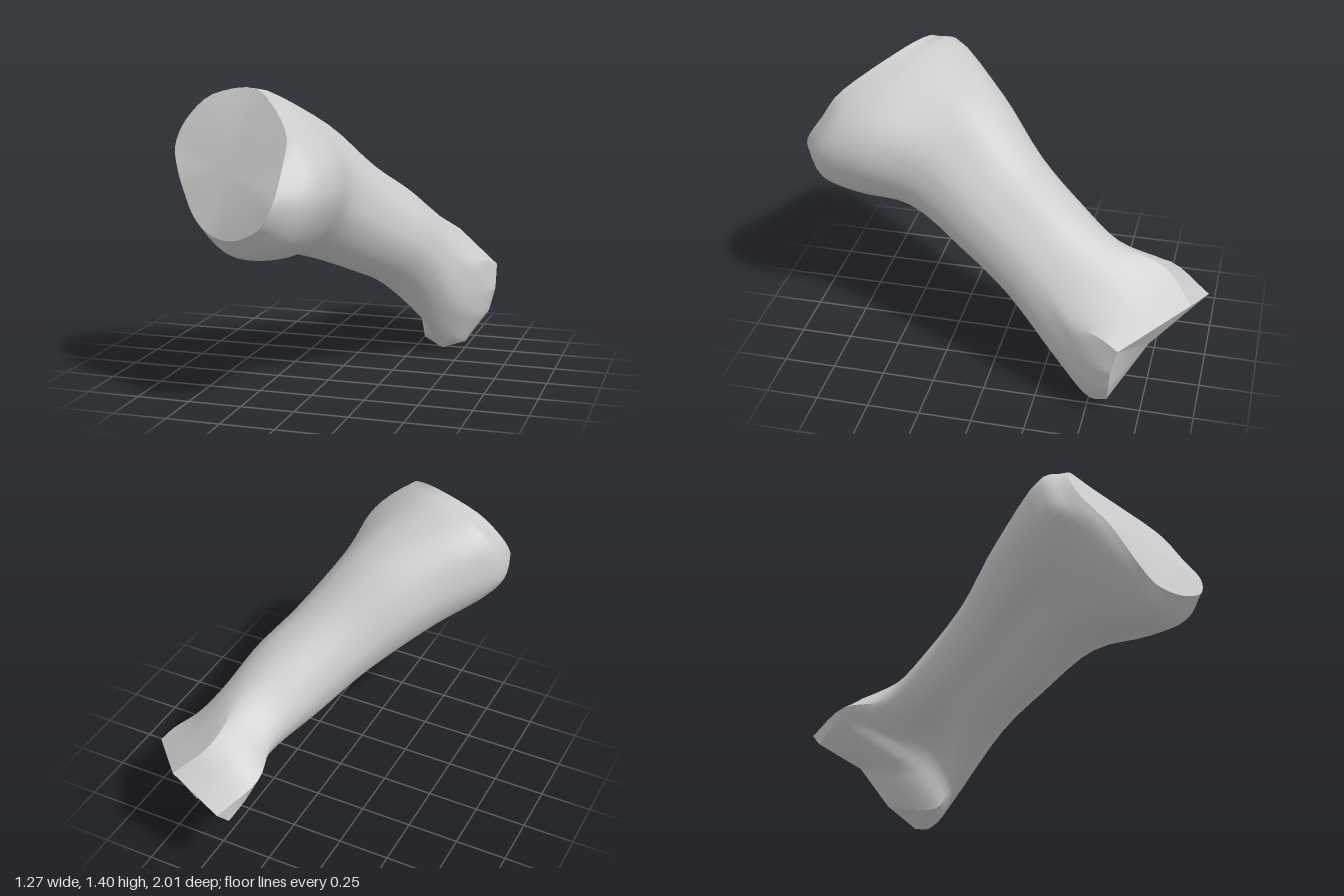
import * as THREE from 'three';
import { toCreasedNormals } from 'three/addons/utils/BufferGeometryUtils.js';

const V = (x, y, z) => new THREE.Vector3(x, y, z);
const SIDES = 48, STEPS = 4;

const ring = (pts) => pts.map((p) => V(...p));

// Ring square to the shaft's axis, foreshortened along the slant,
// flattened at the lower left and upper right, fuller at the lower right
function shaftRing(cx, cy, cz, r) {
  return Array.from({ length: 12 }, (_, k) => {
    const a = THREE.MathUtils.degToRad(115 - 30 * k), c = Math.cos(a), s = Math.sin(a);
    const rr = r * (1 - (c < 0 ? 0.32 : 0.15) * c ** 4);
    const u = c * rr, v = s * rr * (s < 0 ? 0.93 : 0.84);
    const dx = (u - v) * Math.SQRT1_2, dy = (u + v) * Math.SQRT1_2;
    return V(cx + dx, cy + dy, cz + 0.43 * dx - 0.48 * dy);
  });
}

// Rings of 12 points, clockwise from the left, ordered front to back
function sections() {
  // Front head: edge of the face, rounded shoulder, widest girth
  const rim = ring([[-0.62, 1.13, 0.57], [-0.59, 1.25, 0.51], [-0.47, 1.365, 0.485], [-0.23, 1.4, 0.55],
    [-0.01, 1.25, 0.8], [0.01, 1.1, 0.91], [0, 0.97, 0.995], [-0.06, 0.86, 1],
    [-0.2, 0.79, 0.93], [-0.34, 0.79, 0.84], [-0.45, 0.86, 0.775], [-0.55, 1.01, 0.68]]);
  const girth = [[-0.635, 1.1], [-0.59, 1.26], [-0.46, 1.365], [-0.22, 1.385], [0, 1.27], [0.15, 1.12],
    [0.18, 0.95], [0.08, 0.76], [-0.09, 0.675], [-0.29, 0.675], [-0.46, 0.81], [-0.595, 0.99]]
    .map(([x, y]) => V(x, y, 0.56 + 0.3 * (x + 0.24) - 0.34 * (y - 1.03)));
  const shoulder = rim.map((p, i) => {
    const q = girth[i], l = THREE.MathUtils.lerp;
    return V(l(p.x, q.x, 0.7), l(p.y, q.y, 0.7), l(p.z, q.z, 0.33));
  });
  // Rear end: neck, two lobes, angular end edge
  const neck = ring([[0.05, 0.56, -0.6], [0.1, 0.66, -0.57], [0.23, 0.74, -0.55], [0.37, 0.67, -0.5],
    [0.52, 0.49, -0.42], [0.54, 0.36, -0.42], [0.5, 0.24, -0.37], [0.43, 0.15, -0.36],
    [0.37, 0.12, -0.35], [0.32, 0.19, -0.34], [0.25, 0.35, -0.42], [0.11, 0.45, -0.61]]);
  const lobes = ring([[0.01, 0.53, -0.8], [0.13, 0.6, -0.8], [0.25, 0.65, -0.8], [0.42, 0.56, -0.7],
    [0.6, 0.45, -0.58], [0.62, 0.3, -0.58], [0.58, 0.17, -0.54], [0.49, 0.03, -0.51],
    [0.39, 0.01, -0.45], [0.31, 0.07, -0.41], [0.24, 0.26, -0.53], [0.04, 0.46, -0.83]]);
  const endEdge = ring([[0.11, 0.44, -1], [0.24, 0.49, -0.97], [0.37, 0.54, -0.94], [0.5, 0.48, -0.795],
    [0.63, 0.42, -0.65], [0.63, 0.3, -0.62], [0.6, 0.18, -0.61], [0.5, 0.04, -0.59],
    [0.4, 0.005, -0.55], [0.3, 0.1, -0.66], [0.22, 0.28, -0.78], [0.08, 0.38, -0.95]]);
  return [rim, shoulder, girth,
    shaftRing(-0.13, 0.945, 0.27, 0.332), shaftRing(0.04, 0.77, 0, 0.275), shaftRing(0.17, 0.63, -0.23, 0.26),
    neck, lobes, endEdge];
}

// Resample the rings around (straight edges at the rear end) and smoothly along the bone
function refine(rings) {
  const fine = rings.map((r, k) => {
    const c = new THREE.CatmullRomCurve3(r, true, 'catmullrom', k > 6 ? 0 : 0.45);
    return Array.from({ length: SIDES }, (_, i) => c.getPoint(i / SIDES));
  });
  const count = (rings.length - 1) * STEPS;
  const columns = fine[0].map((_, i) => new THREE.CatmullRomCurve3(fine.map((r) => r[i])));
  return Array.from({ length: count + 1 }, (_, j) => columns.map((c) => c.getPoint(j / count)));
}

const centre = (pts) => pts.reduce((s, p) => s.add(p), V(0, 0, 0)).divideScalar(pts.length);

// Closed skin: front fan, side walls, rear fan
function skin(rows) {
  const last = (rows.length - 1) * SIDES, front = last + SIDES, rear = front + 1;
  const index = [];
  for (let i = 0; i < SIDES; i++) {
    const n = (i + 1) % SIDES;
    index.push(front, n, i, rear, last + i, last + n);
    for (let a = 0; a < last; a += SIDES) {
      const b = a + SIDES;
      index.push(a + i, a + n, b + i, a + n, b + n, b + i);
    }
  }
  const g = new THREE.BufferGeometry().setFromPoints([...rows.flat(), centre(rows[0]), centre(rows.at(-1))]);
  g.setIndex(index);
  return toCreasedNormals(g, 0.6);
}

export function createModel() {
  const group = new THREE.Group();
  group.name = 'bone';
  const body = new THREE.Mesh(skin(refine(sections())), new THREE.MeshStandardMaterial({ color: 0xcccccc }));
  body.name = 'boneBody';
  group.add(body);
  return group;
}
